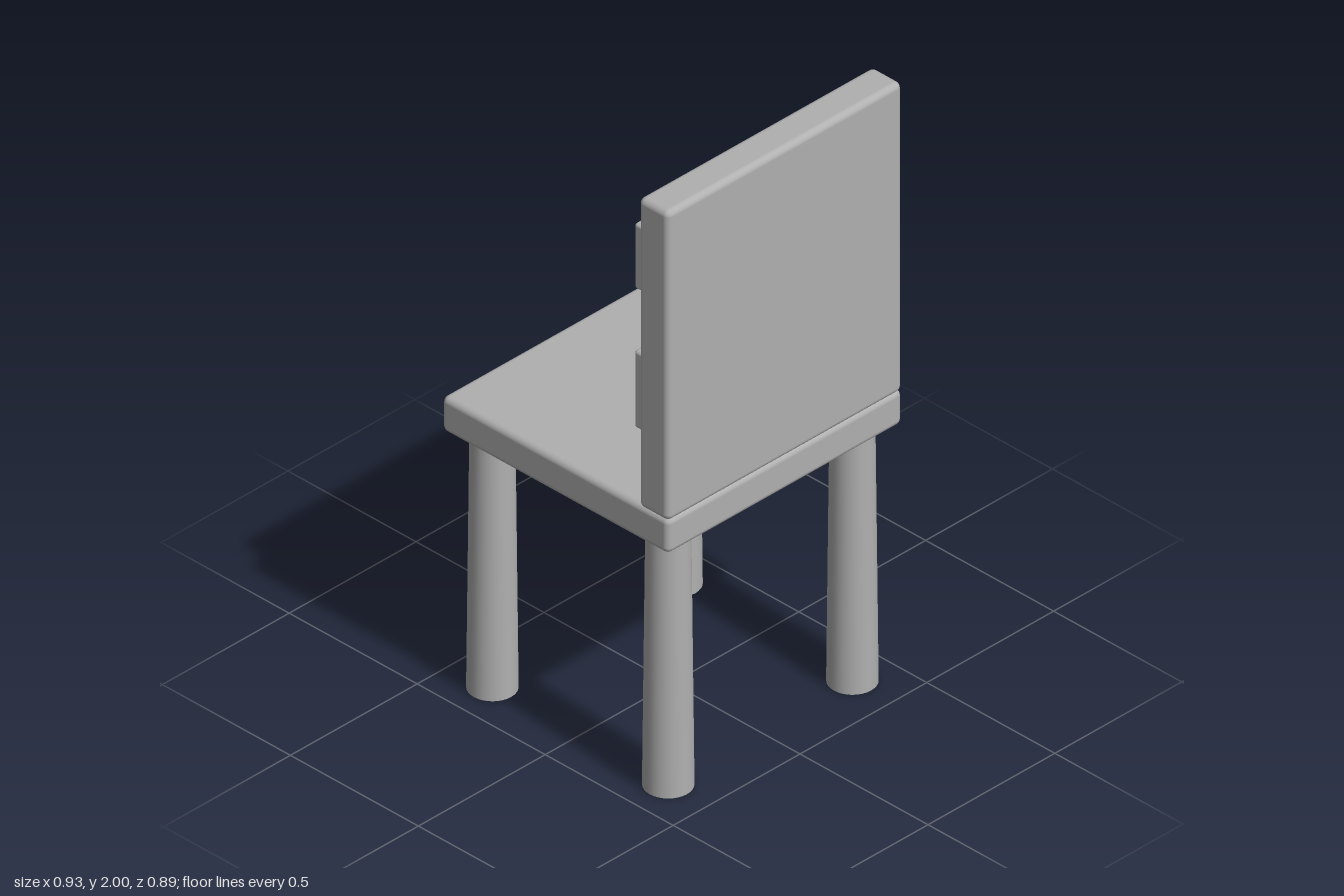
import * as THREE from 'three';
import { RoundedBoxGeometry } from 'three/addons/geometries/RoundedBoxGeometry.js';

export function createModel() {
  const chair = new THREE.Group();
  chair.name = 'chair';
  const grey = new THREE.MeshStandardMaterial({ color: 0xb0b0b0 });
  grey.name = 'grey';

  const add = (name, geometry, x, y, z) => {
    const mesh = new THREE.Mesh(geometry, grey);
    mesh.name = name;
    mesh.position.set(x, y, z);
    chair.add(mesh);
  };

  // Softly bevelled board spanning y0..y1 and z0..z1, centred on x
  const board = (name, width, y0, y1, z0, z1, bevel) =>
    add(name, new RoundedBoxGeometry(width, y1 - y0, z1 - z0, 3, bevel),
      0, (y0 + y1) / 2, (z0 + z1) / 2);

  // Seat, backrest panel and the two slats on its sitting side
  board('seat', 0.926, 0.855, 0.973, -0.443, 0.443, 0.02);
  board('backrest', 0.926, 0.965, 2, 0.325, 0.443, 0.02);
  board('upperSlat', 0.806, 1.632, 1.85, 0.25, 0.335, 0.01);
  board('lowerSlat', 0.806, 1.167, 1.425, 0.25, 0.335, 0.01);

  // Four round legs, slightly wider at the floor
  const legHeight = 0.87;
  const leg = new THREE.CylinderGeometry(0.064, 0.073, legHeight, 32);
  for (const [side, sx] of [['left', 1], ['right', -1]]) {
    add(`${side}BackrestLeg`, leg, sx * 0.363, legHeight / 2, 0.345);
    add(`${side}SeatEdgeLeg`, leg, sx * 0.363, legHeight / 2, -0.342);
  }

  return chair;
}
